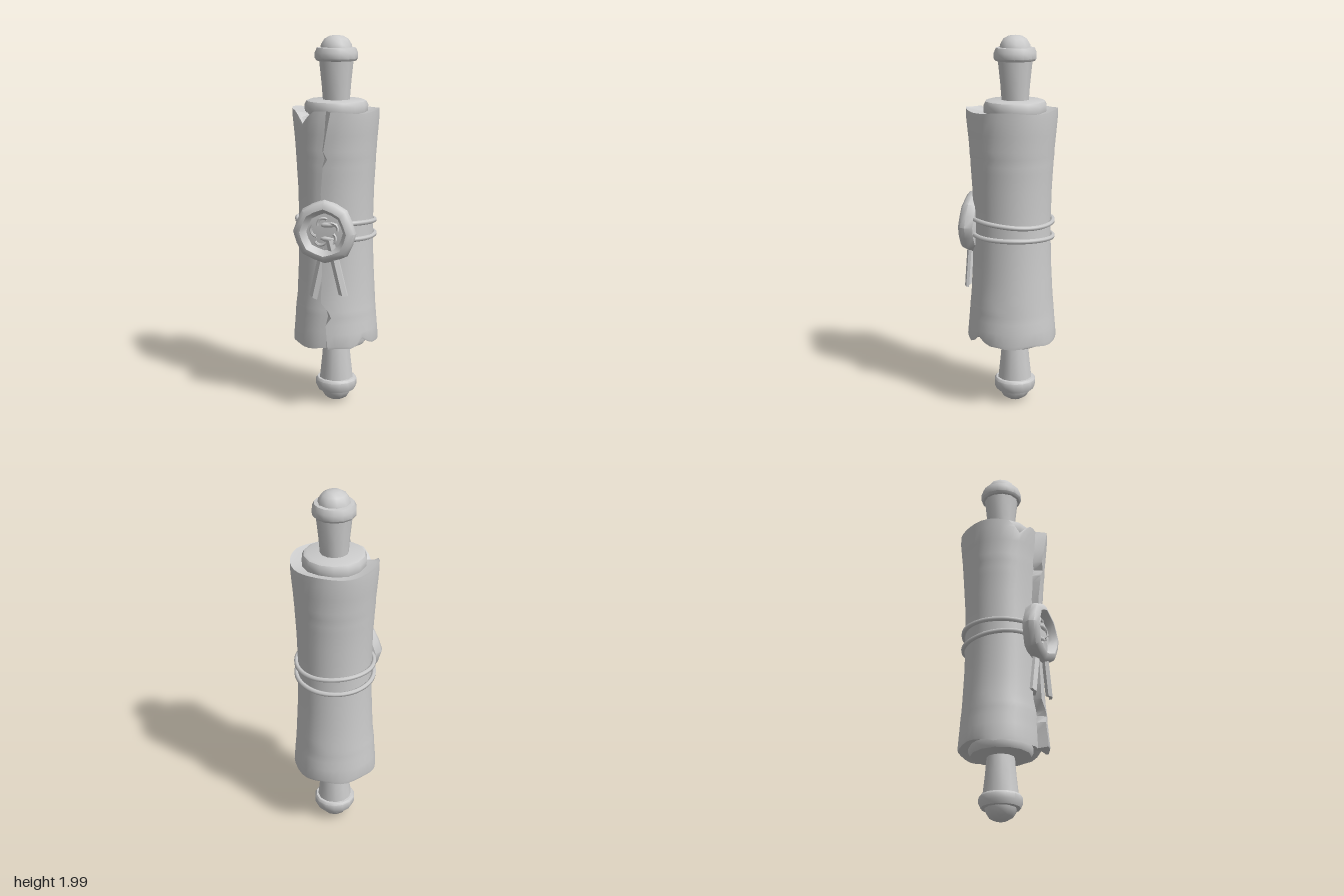
import * as THREE from 'three';
import { toCreasedNormals } from 'three/addons/utils/BufferGeometryUtils.js';

const material = new THREE.MeshStandardMaterial({ color: 0xcccccc, side: THREE.DoubleSide });
const AXIS_Z = -0.026; // rod axis
const PAPER_Z = -0.01; // centre of the rolled sheet

// Piecewise linear lookup in [[x, value], ...]
function sample(table, x) {
  if (x <= table[0][0]) return table[0][1];
  for (let i = 1; i < table.length; i++) {
    const [x0, a] = table[i - 1], [x1, b] = table[i];
    if (x <= x1) return a + (b - a) * (x - x0) / (x1 - x0);
  }
  return table[table.length - 1][1];
}

function addMesh(parent, name, geometry, crease = 0.7) {
  const mesh = new THREE.Mesh(toCreasedNormals(geometry, crease), material);
  mesh.name = name;
  parent.add(mesh);
  return mesh;
}

const lathe = (points, sides) =>
  new THREE.LatheGeometry(points.map(([r, y]) => new THREE.Vector2(r, y)), sides);

// Sheet: waisted along its height, spiral around its girth
const WAIST = [[0.36, 0.231], [0.45, 0.224], [0.6, 0.212], [0.8, 0.202], [1, 0.198],
  [1.2, 0.203], [1.4, 0.215], [1.55, 0.227], [1.63, 0.234]];
const SPIRAL = [[0, 1.06], [0.12, 1.025], [0.25, 1], [0.5, 1.045], [0.75, 1.005], [0.88, 0.925], [1, 0.83]];
const FLAP_X = [[0.36, 0.02], [0.5, 0.008], [0.54, 0.035], [0.57, 0.022], [0.62, -0.02], [0.8, -0.016],
  [1.2, -0.022], [1.34, -0.008], [1.38, 0.016], [1.42, -0.004], [1.63, 0.035]];
const GAP = [[0.36, 0.08], [0.5, 0.04], [0.55, 0.13], [0.62, 0.03], [1.3, 0.04], [1.38, 0.12], [1.45, 0.08], [1.63, 0.15]];

// The overlap lies tighter near the waist
function sheetRadius(u, y) {
  const tight = Math.max(0, 1 - Math.abs(y - 1) / 0.6);
  const s = sample(SPIRAL, u);
  return sample(WAIST, y) * (s < 1 ? s + (1 - s) * 0.4 * tight : s);
}

function sheetGeometry() {
  const N = 36, positions = [], index = [];
  const notch = (i, c, depth) => depth * Math.max(0, 1 - Math.abs(i - c) / 1.6);
  const topEdge = (i) => 1.625 - 0.012 * Math.sin(i * 0.35) ** 2 - notch(i, 32, 0.06);
  const bottomEdge = (i) => 0.37 - (i > 27 ? 0.014 : 0) + 0.006 * Math.sin(i * 1.1) + notch(i, 5, 0.05);
  // Each row: [height rule, inward scale]; the ends fold in to shallow caps
  const rows = [[() => 0.4, 0.58], [(i) => bottomEdge(i) + 0.012, 0.9], [bottomEdge, 0.985]];
  for (const y of [0.385, 0.45, 0.5, 0.54, 0.57, 0.62, 0.72, 0.8, 0.9, 1, 1.1, 1.2, 1.3, 1.34, 1.38, 1.42, 1.5, 1.58])
    rows.push([(i) => Math.min(topEdge(i) - 0.01, Math.max(y, bottomEdge(i) + 0.01)), 1]);
  rows.push([topEdge, 0.985], [(i) => topEdge(i) - 0.008, 0.9], [() => 1.6, 0.58]);
  for (const [height, scale] of rows) {
    for (let i = 0; i <= N; i++) {
      const y = height(i), u = i / N;
      const start = Math.asin(sample(FLAP_X, y) / 0.22);
      const angle = start + u * (2 * Math.PI - sample(GAP, y));
      const r = sheetRadius(u, y) * scale;
      positions.push(r * Math.sin(angle), y, PAPER_Z + r * Math.cos(angle));
    }
  }
  const W = N + 1;
  for (let j = 0; j < rows.length - 1; j++) {
    for (let i = 0; i < W; i++) {
      const k = (i + 1) % W; // the last strip is the torn step of the flap
      const a = j * W + i, b = j * W + k, c = b + W, d = a + W;
      index.push(a, b, c, a, c, d);
    }
  }
  const geometry = new THREE.BufferGeometry();
  geometry.setAttribute('position', new THREE.Float32BufferAttribute(positions, 3));
  geometry.setIndex(index);
  return geometry;
}

// One end of the rod, with its flange, handle, collar and dome
function rodEnd(name) {
  const end = new THREE.Group();
  end.name = name;
  addMesh(end, 'flange', lathe([[0, 0.56], [0.15, 0.56], [0.166, 0.6], [0.168, 0.64], [0.158, 0.66],
    [0.14, 0.667], [0, 0.667]], 14));
  addMesh(end, 'handle', lathe([[0.072, 0.65], [0.08, 0.75], [0.094, 0.88]], 12));
  addMesh(end, 'collar', lathe([[0.08, 0.866], [0.104, 0.868], [0.113, 0.88], [0.113, 0.91],
    [0.102, 0.935], [0.07, 0.938]], 14));
  addMesh(end, 'dome', lathe([[0.085, 0.93], [0.08, 0.953], [0.063, 0.98], [0.035, 0.996], [0, 1]], 10), 1);
  return end;
}

// Cord loop hugging the sheet, slightly sloped towards the back
function cordGeometry(y, slope, wobble) {
  const points = [];
  for (let i = 0; i < 28; i++) {
    const t = (i / 28) * Math.PI * 2;
    const h = y + slope * Math.cos(t) + wobble * Math.sin(2 * t);
    const r = sheetRadius(i / 28, h) + 0.009;
    points.push(new THREE.Vector3(r * Math.sin(t), h, PAPER_Z + r * Math.cos(t)));
  }
  return new THREE.TubeGeometry(new THREE.CatmullRomCurve3(points, true), 56, 0.013, 6, true);
}

// Wax seal: uneven octagonal disc with a raised rim
function sealGeometry() {
  const g = lathe([[0.1, -0.1], [0.15, -0.085], [0.166, -0.045], [0.158, -0.018], [0.14, -0.003], [0.122, 0],
    [0.106, -0.022], [0.096, -0.04], [0, -0.036]], 16);
  const p = g.attributes.position;
  for (let i = 0; i < p.count; i++) {
    const x = p.getX(i), z = p.getZ(i), a = Math.atan2(z, x);
    const s = 1 + 0.025 * Math.cos(8 * a) + 0.015 * Math.sin(3 * a);
    p.setXYZ(i, x * s, p.getY(i) + 0.006 * Math.sin(2 * a + 1) * Math.hypot(x, z) / 0.16, z * s);
  }
  return g.rotateX(Math.PI / 2);
}

// Folded ribbon tail with a shallow V section and a slanted tip
function ribbonGeometry() {
  const shape = new THREE.Shape([[-0.022, 0], [0, 0.014], [0.022, 0], [0.022, -0.016], [0, -0.004], [-0.022, -0.016]]
    .map(([x, y]) => new THREE.Vector2(x, y)));
  const g = new THREE.ExtrudeGeometry(shape, { depth: 0.3, bevelEnabled: false });
  const p = g.attributes.position;
  for (let i = 0; i < p.count; i++) if (p.getZ(i) > 0.2) p.setZ(i, 0.3 + p.getX(i) * 0.35);
  return g.rotateX(Math.PI / 2).scale(1, 1, -1 * -1);
}

export function createModel() {
  const model = new THREE.Group();
  model.name = 'sealedScroll';

  // Rod ends, one turned over for the bottom
  const top = rodEnd('rodTop');
  top.position.set(0, 1, AXIS_Z);
  const bottom = rodEnd('rodBottom');
  bottom.position.set(0, 1, AXIS_Z);
  bottom.rotation.z = Math.PI;
  bottom.scale.y = 0.993;
  model.add(top, bottom);

  addMesh(model, 'rolledSheet', sheetGeometry(), 0.55);

  // Cords
  addMesh(model, 'upperCord', cordGeometry(1.03, 0.008, 0.006), 1.2);
  addMesh(model, 'lowerCord', cordGeometry(0.953, 0.012, -0.005), 1.2);

  // Ribbon tails below the seal
  for (const [name, x, z, tilt] of [['rightRibbon', -0.003, 0.192, -0.22], ['leftRibbon', 0.028, 0.212, 0.24]]) {
    const ribbon = addMesh(model, name, ribbonGeometry(), 0.3);
    ribbon.position.set(x, name === 'rightRibbon' ? 0.935 : 0.96, z);
    ribbon.rotation.z = tilt;
  }

  // Seal with an abstract swirl pressed into the wax
  const seal = new THREE.Group();
  seal.name = 'waxSeal';
  seal.position.set(0, 1, 0.247);
  addMesh(seal, 'sealBody', sealGeometry(), 0.75);
  for (let i = 0; i < 5; i++) {
    const a = (i / 5) * Math.PI * 2 + 0.4;
    const curl = addMesh(seal, 'swirl', new THREE.TorusGeometry(0.032, 0.008, 5, 8, 2.3), 0.5);
    curl.position.set(0.042 * Math.cos(a), 0.042 * Math.sin(a), -0.036);
    curl.rotation.z = a - 0.6;
  }
  model.add(seal);
  return model;
}
